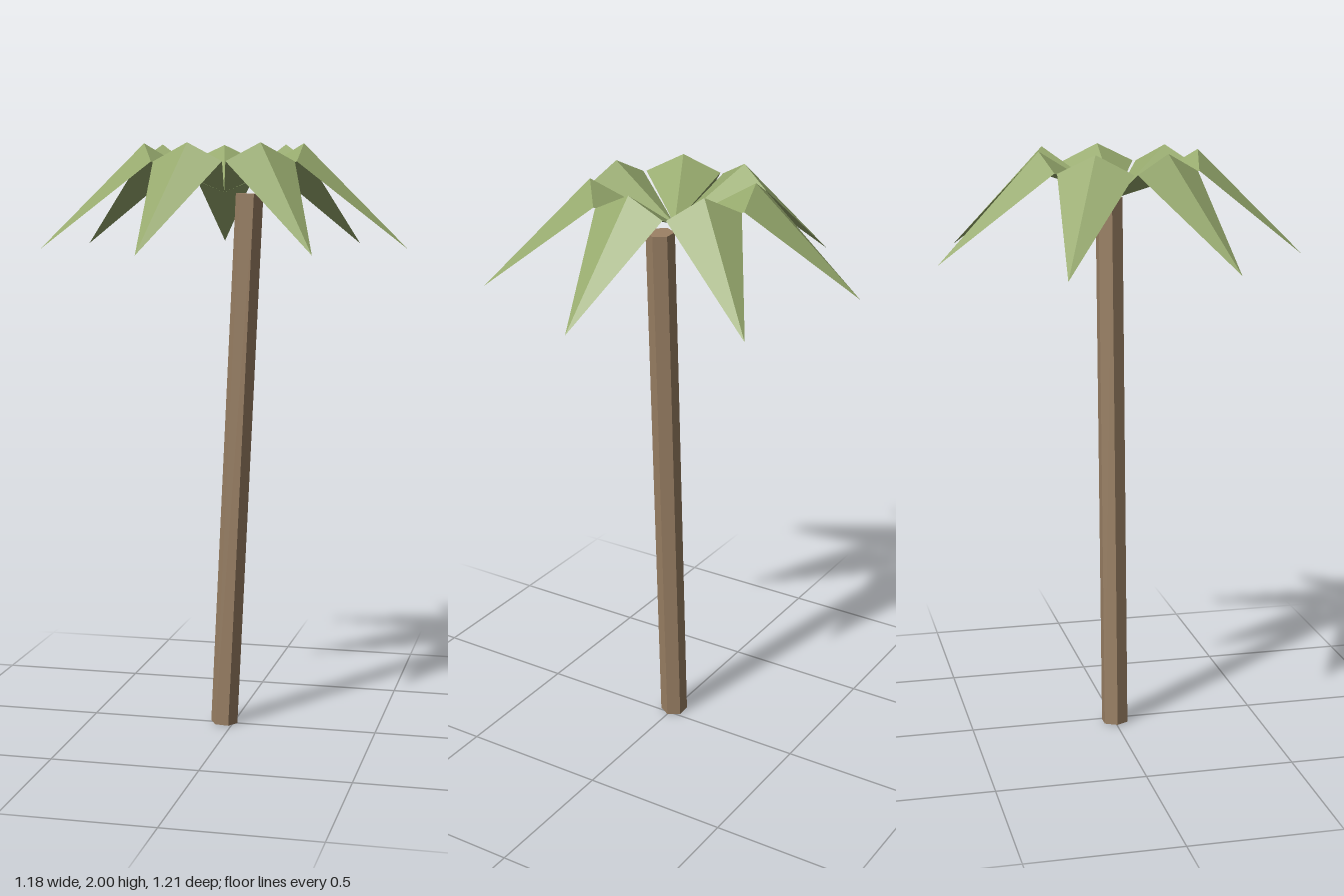
import * as THREE from 'three';

const trunkBrown = new THREE.MeshStandardMaterial({ color: 0x9a8064, flatShading: true });
trunkBrown.name = 'trunkBrown';
const leafGreen = new THREE.MeshStandardMaterial({ color: 0x96a96d, flatShading: true, side: THREE.DoubleSide });
leafGreen.name = 'leafGreen';

// Folded frond pointing along +x: rises to a raised ridge, then droops to a tip
function frondGeometry() {
  const root = [0, 1.84, 0], ridge = [0.27, 2, 0], tip = [0.62, 1.655, 0];
  const near = [0.27, 1.94, 0.124], far = [0.27, 1.94, -0.124];
  const faces = [root, near, ridge, near, tip, ridge, root, ridge, far, ridge, tip, far];
  const geometry = new THREE.BufferGeometry();
  geometry.setAttribute('position', new THREE.Float32BufferAttribute(faces.flat(), 3));
  geometry.computeVertexNormals();
  return geometry;
}

export function createModel() {
  const palm = new THREE.Group();
  palm.name = 'palmTree';

  // Leaning six-sided trunk with an edge facing each side
  const bottom = new THREE.Vector3(-0.032, 0.003, 0);
  const top = new THREE.Vector3(0.056, 1.835, 0);
  const axis = top.clone().sub(bottom);
  const shape = new THREE.CylinderGeometry(0.047, 0.047, axis.length(), 6);
  shape.rotateY(Math.PI / 6);
  const trunk = new THREE.Mesh(shape, trunkBrown);
  trunk.name = 'trunk';
  trunk.position.copy(bottom).add(top).multiplyScalar(0.5);
  trunk.rotation.z = -Math.atan2(axis.x, axis.y);
  palm.add(trunk);

  // Crown of seven evenly spaced fronds
  const crown = new THREE.Group();
  crown.name = 'crown';
  crown.position.x = -0.031;
  const frond = frondGeometry();
  const count = 7;
  for (let i = 0; i < count; i++) {
    const leaf = new THREE.Mesh(frond, leafGreen);
    leaf.name = 'frond' + (i + 1);
    leaf.rotation.y = (i / count) * Math.PI * 2;
    crown.add(leaf);
  }
  palm.add(crown);
  return palm;
}
